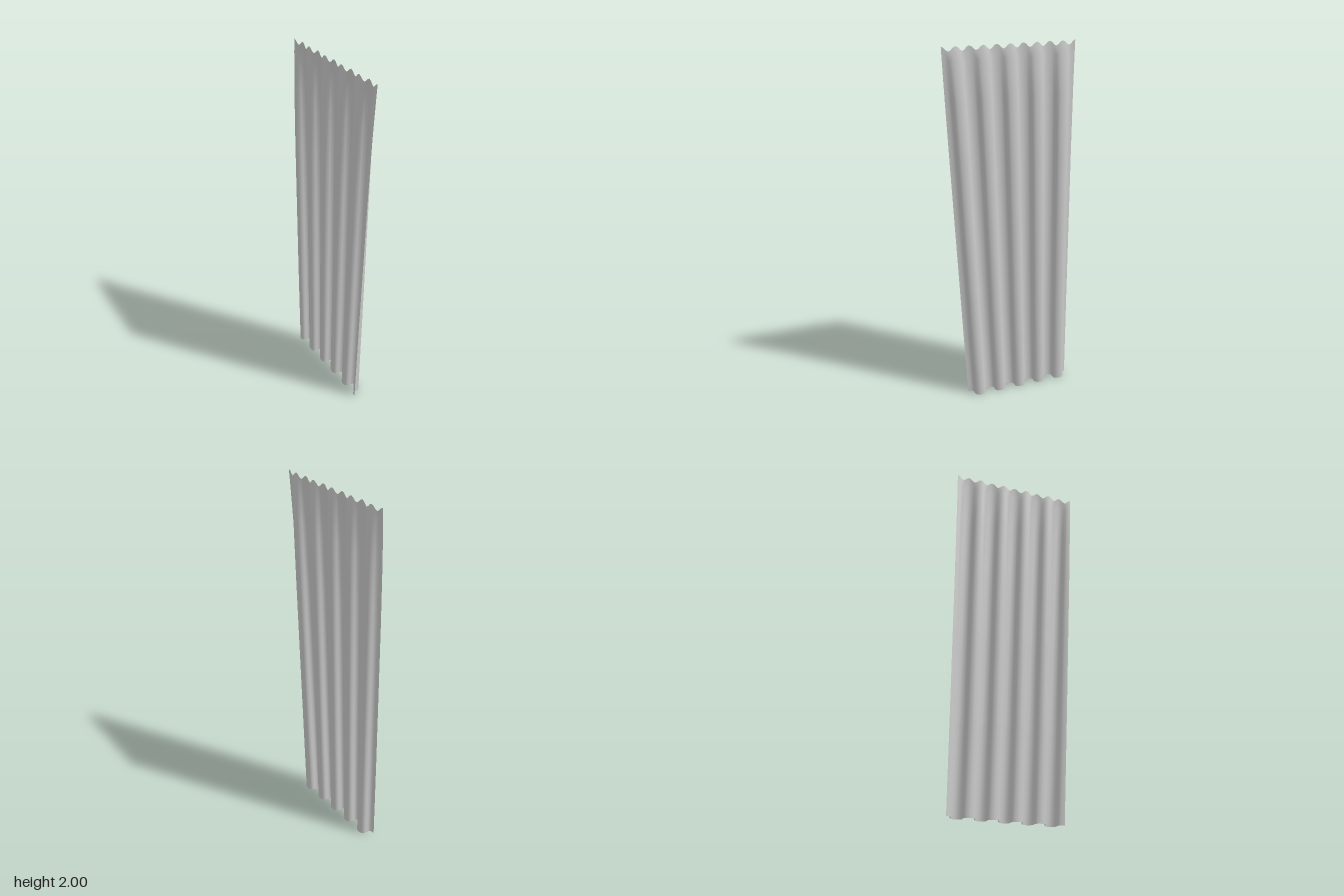
import * as THREE from 'three';

// height of each row, fold depth and sideways drift of the cloth there
const rows = [
  [0, 0.031, 0], [0.5, 0.029, -0.001], [1, 0.026, -0.001], [1.4, 0.0235, -0.001],
  [1.73, 0.019, -0.001], [1.93, 0.010, -0.004], [2, 0.003, -0.008],
];
const folds = 5, columns = 60;

export function createModel() {
  const group = new THREE.Group();

  // pleated cloth sheet: u runs along the rail, rows run upwards
  const geometry = new THREE.PlaneGeometry(1, 1, columns, rows.length - 1);
  const pos = geometry.attributes.position;
  for (let i = 0; i < pos.count; i++) {
    const u = (i % (columns + 1)) / columns;
    const r = rows.length - 1 - Math.floor(i / (columns + 1));
    const [height, depth, drift] = rows[r];
    const angle = u * folds * Math.PI * 2;

    // the sheet widens towards the rail, and the pleats bulge where they are deep
    const width = 0.62 + 0.105 * height / 2;
    const bulge = 0.35 * depth * Math.sin(2 * angle);
    const x = drift - depth * Math.cos(angle);
    const z = -0.36 + width * u + bulge;

    // scalloped upper hem
    const sag = r === rows.length - 1 ? 0.0125 * (1 - Math.cos(2 * angle)) : 0;
    pos.setXYZ(i, x, height - sag, z);
  }
  geometry.computeVertexNormals();

  const material = new THREE.MeshStandardMaterial({ color: 0xcccccc, side: THREE.DoubleSide });
  const curtain = new THREE.Mesh(geometry, material);
  curtain.name = 'curtain';
  group.add(curtain);
  return group;
}
